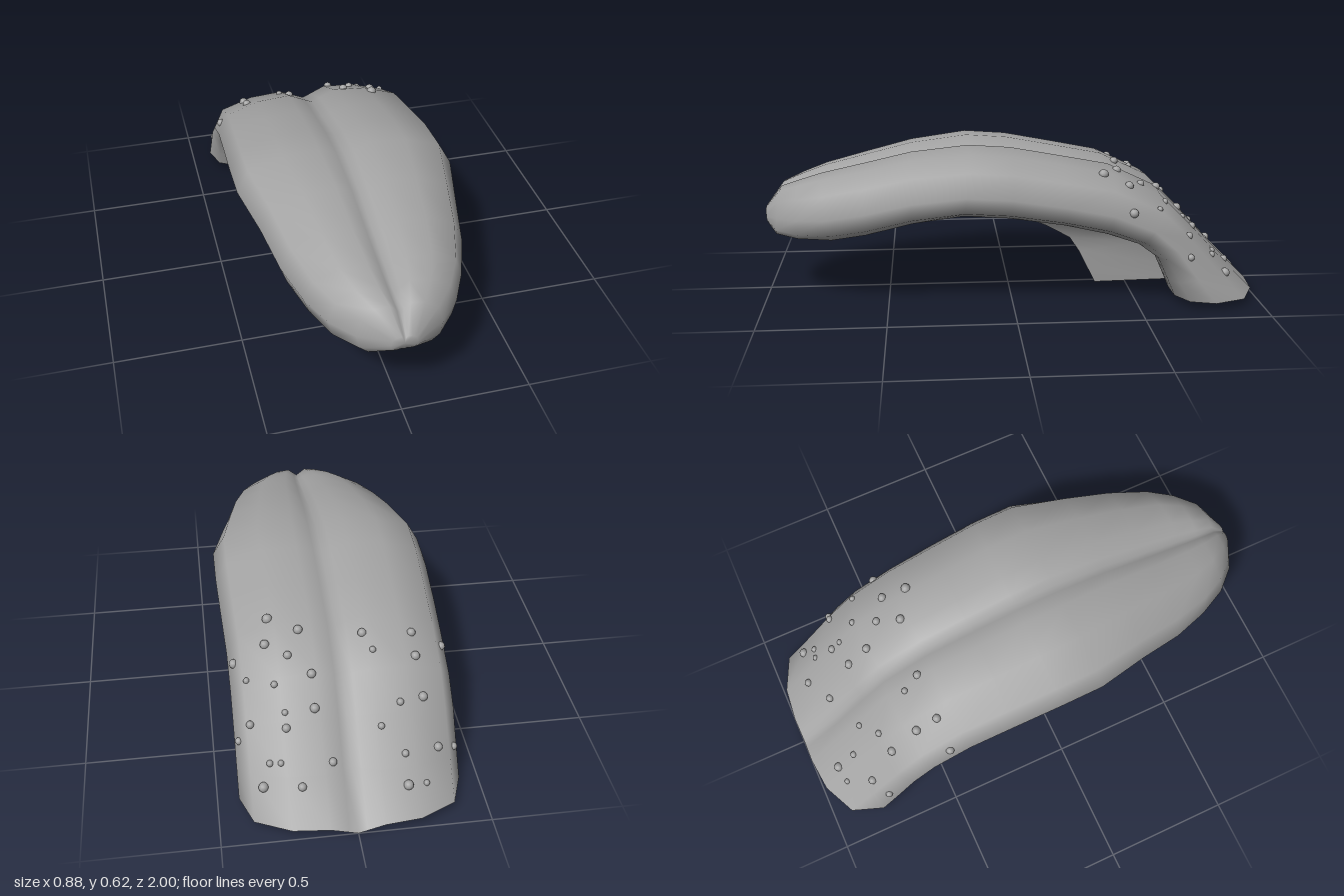
import * as THREE from 'three';

// Stations from tip to base: top [z, y], underside [z, y], central ridge [z, y], half width
const stations = [
  [0.998, 0.36, 0.995, 0.30, 0.995, 0.30, 0.05],
  [0.93, 0.45, 0.95, 0.268, 0.95, 0.265, 0.16],
  [0.85, 0.48, 0.86, 0.262, 0.86, 0.265, 0.24],
  [0.76, 0.51, 0.72, 0.265, 0.72, 0.27, 0.30],
  [0.59, 0.55, 0.58, 0.295, 0.58, 0.29, 0.353],
  [0.40, 0.595, 0.40, 0.345, 0.40, 0.34, 0.39],
  [0.17, 0.622, 0.20, 0.382, 0.20, 0.365, 0.438],
  [0.00, 0.61, 0.02, 0.37, 0.05, 0.34, 0.438],
  [-0.20, 0.573, -0.20, 0.335, -0.07, 0.295, 0.43],
  [-0.40, 0.535, -0.37, 0.295, -0.17, 0.25, 0.422],
  [-0.60, 0.44, -0.50, 0.25, -0.26, 0.20, 0.42],
  [-0.72, 0.32, -0.58, 0.19, -0.30, 0.14, 0.42],
  [-0.86, 0.17, -0.62, 0.10, -0.335, 0.07, 0.42],
  [-1.00, 0.03, -0.65, 0.03, -0.37, 0.00, 0.42],
];

// Half section: x as a share of half width, height share, pull towards the ridge
const half = [
  [0.08, 0.88, 0], [0.24, 1, 0], [0.57, 0.96, 0], [0.89, 0.78, 0], [1, 0.42, 0],
  [0.93, 0.14, 0], [0.74, 0.01, 0], [0.48, 0, 0], [0.24, 0.04, 0], [0.07, 0, 1],
];
const section = [
  [0, 0.82, 0], ...half, [0, 0, 1],
  ...half.slice().reverse().map(([x, v, r]) => [-x, v, r]),
];

function tongueGeometry() {
  const n = section.length, pos = [], idx = [];
  stations.forEach(([tz, ty, bz, by, rz, ry, w], i) => {
    const last = i === stations.length - 1;
    section.forEach(([u, v, r]) => {
      let y = r ? ry : by + (ty - by) * v;
      let z = r ? rz : bz + (tz - bz) * v;
      if (last && u === 0 && !r) { y = 0; z = -1; } // groove runs out at the base
      if (last && Math.abs(u) === 0.08) { y = 0.01; z = -1; }
      pos.push(u * w, y, z);
    });
  });
  for (let i = 0; i < stations.length - 1; i++) {
    for (let j = 0; j < n; j++) {
      const a = i * n + j, b = i * n + (j + 1) % n;
      idx.push(a, b, a + n, b, b + n, a + n);
    }
  }
  // Closed tip, open base
  const tip = pos.length / 3;
  pos.push(0, 0.33, 1);
  for (let j = 0; j < n; j++) idx.push(tip, (j + 1) % n, j);
  const g = new THREE.BufferGeometry();
  g.setAttribute('position', new THREE.Float32BufferAttribute(pos, 3));
  g.setIndex(idx);
  g.computeVertexNormals();
  return g;
}

// Bumps on the rear of the upper surface: [x, z, radius]
const bumps = [
  [-0.27, -0.89, 0.012], [-0.20, -0.90, 0.019], [-0.33, -0.79, 0.017], [-0.20, -0.82, 0.014],
  [-0.40, -0.75, 0.015], [-0.12, -0.75, 0.013], [-0.29, -0.67, 0.018], [-0.20, -0.69, 0.014],
  [-0.28, -0.55, 0.018], [-0.12, -0.53, 0.013], [-0.28, -0.46, 0.017], [-0.09, -0.46, 0.017],
  [-0.40, -0.46, 0.017], [0.19, -0.88, 0.016], [0.07, -0.82, 0.016], [0.33, -0.85, 0.019],
  [0.26, -0.81, 0.012], [0.30, -0.80, 0.013], [0.23, -0.73, 0.016], [0.12, -0.69, 0.018],
  [0.23, -0.69, 0.012], [0.36, -0.69, 0.015], [0.405, -0.69, 0.014], [0.12, -0.60, 0.017],
  [0.26, -0.61, 0.013], [0.36, -0.57, 0.012], [0.20, -0.52, 0.016], [0.28, -0.46, 0.018],
  [0.15, -0.43, 0.018], [0.26, -0.36, 0.020], [0.40, -0.46, 0.018],
];

export function createModel() {
  const group = new THREE.Group();
  group.name = 'tongue';
  const grey = new THREE.MeshStandardMaterial({ color: 0xa3a3a3, side: THREE.DoubleSide });
  grey.name = 'grey';

  const body = new THREE.Mesh(tongueGeometry(), grey);
  body.name = 'tongueBody';
  group.add(body);

  // Drop each bump onto the surface
  const taste = new THREE.Group();
  taste.name = 'tasteBuds';
  const ball = new THREE.SphereGeometry(1, 12, 8);
  const ray = new THREE.Raycaster();
  const down = new THREE.Vector3(0, -1, 0);
  body.updateMatrixWorld(true);
  bumps.forEach(([x, z, r]) => {
    ray.set(new THREE.Vector3(x, 2, z), down);
    const hit = ray.intersectObject(body)[0];
    if (!hit) return;
    const bud = new THREE.Mesh(ball, grey);
    bud.name = 'tasteBud';
    bud.position.copy(hit.point);
    bud.scale.setScalar(r);
    taste.add(bud);
  });
  group.add(taste);
  return group;
}
